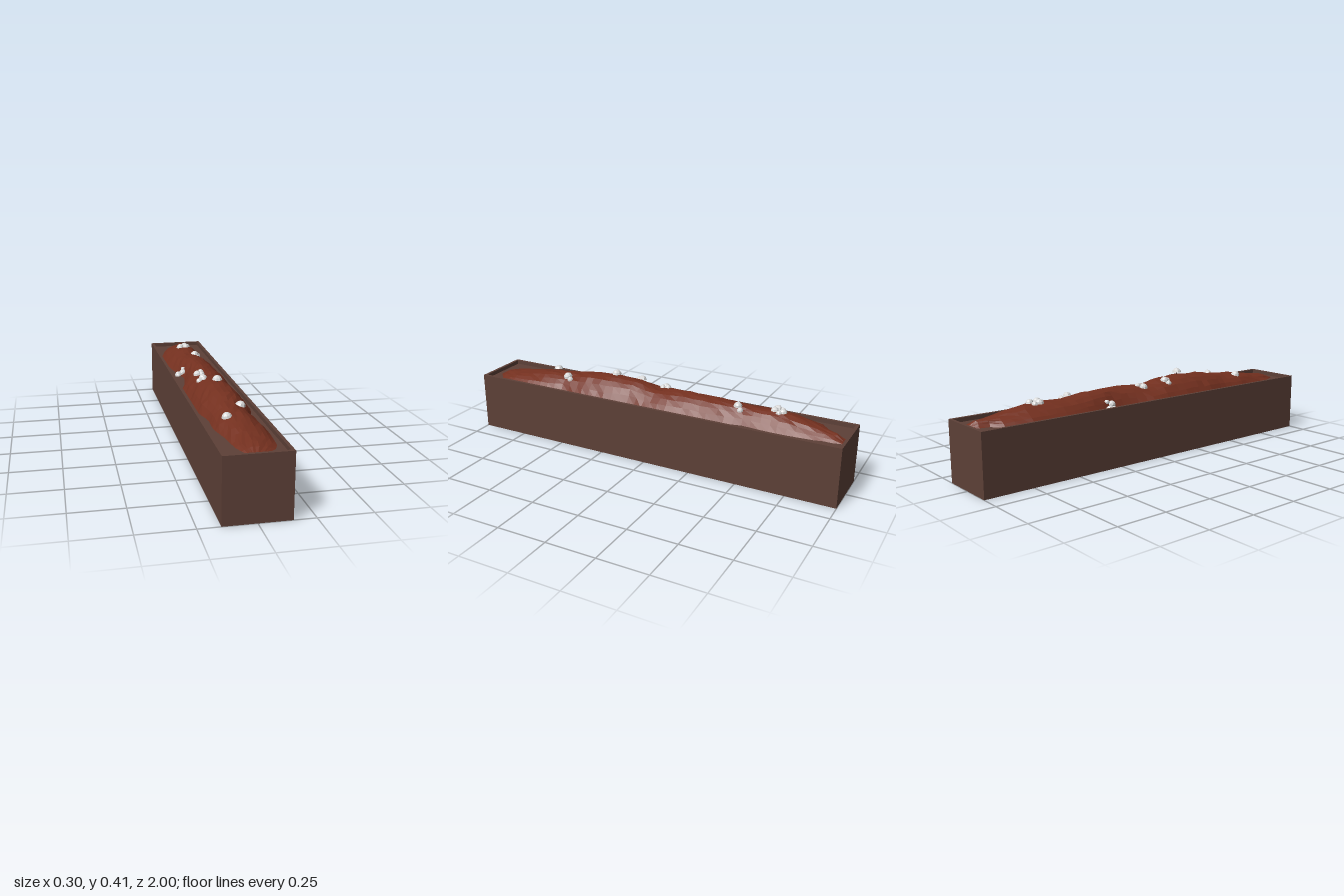
import * as THREE from 'three';

const FLOOR = 0.28;

// Mound outline along its length: [z, left edge x, right edge x, ridge height]
const SECTIONS = [
  [-0.98, 0.0, 0.06, 0.285], [-0.95, -0.02, 0.07, 0.303], [-0.89, -0.03, 0.07, 0.312],
  [-0.85, -0.09, 0.08, 0.32], [-0.72, -0.125, 0.09, 0.345], [-0.6, -0.13, 0.09, 0.353],
  [-0.5, -0.13, 0.08, 0.345], [-0.37, -0.11, 0.11, 0.358], [-0.21, -0.08, 0.115, 0.365],
  [-0.1, -0.1, 0.125, 0.362], [0, -0.132, 0.12, 0.35], [0.1, -0.13, 0.1, 0.372],
  [0.24, -0.13, 0.125, 0.379], [0.4, -0.125, 0.125, 0.37], [0.5, -0.1, 0.1, 0.352],
  [0.63, -0.105, 0.12, 0.342], [0.75, -0.08, 0.12, 0.325], [0.88, -0.065, 0.11, 0.304],
  [0.94, -0.04, 0.08, 0.295], [0.96, -0.03, 0.04, 0.284],
];

// Mushrooms: [x, z, cap radius]
const MUSHROOMS = [
  [-0.03, -0.635, 0.022], [0.0, -0.63, 0.02], [-0.03, -0.66, 0.016], [0.0, -0.67, 0.02], [0.015, -0.655, 0.015],
  [0.02, -0.45, 0.022], [0.04, -0.47, 0.016],
  [-0.1, -0.285, 0.02], [-0.105, -0.265, 0.016], [-0.08, -0.26, 0.02], [-0.075, -0.285, 0.013],
  [-0.045, -0.03, 0.022], [-0.025, -0.05, 0.016], [-0.025, -0.02, 0.015],
  [-0.045, 0.11, 0.022], [-0.065, 0.12, 0.016], [-0.045, 0.13, 0.014],
  [0, 0.235, 0.025], [0.045, 0.51, 0.024], [0.06, 0.487, 0.016], [-0.045, 0.635, 0.024],
];

function sectionAt(z) {
  let i = 0;
  while (i < SECTIONS.length - 2 && z > SECTIONS[i + 1][0]) i++;
  const a = SECTIONS[i], b = SECTIONS[i + 1];
  const t = THREE.MathUtils.clamp((z - a[0]) / (b[0] - a[0]), 0, 1);
  const [, left, right, height] = a.map((v, k) => v + (b[k] - v) * t);
  // The ridge stays near the middle of the box, drifting toward the tips
  const ridge = THREE.MathUtils.clamp(0, left + (right - left) * 0.4, left + (right - left) * 0.6);
  return { left, right, height, ridge };
}

function surfaceHeight(x, z) {
  const s = sectionAt(z);
  const u = Math.min(1, x < s.ridge ? (s.ridge - x) / (s.ridge - s.left) : (x - s.ridge) / (s.right - s.ridge));
  return FLOOR + (s.height - FLOOR) * (1 - Math.pow(u, 2.2));
}

export function createModel() {
  const make = (color, name, side = THREE.DoubleSide) => {
    const m = new THREE.MeshStandardMaterial({ color, flatShading: true, side });
    m.name = name;
    return m;
  };
  const wood = make(0x5d4037, 'brown wood');
  const soil = make(0x74301f, 'red soil');
  const white = make(0xd8d8d8, 'pale cap');
  const stalk = make(0x5a3a32, 'dark stem');

  const model = new THREE.Group();
  model.name = 'mushroomPlanter';
  const add = (parent, geometry, material, name) => {
    const mesh = new THREE.Mesh(geometry, material);
    mesh.name = name;
    parent.add(mesh);
    return mesh;
  };

  // Planter: thin open-bottomed shell, rim, recessed inner walls and bed
  const planter = new THREE.Group();
  planter.name = 'planter';
  model.add(planter);
  const tube = (w, d, y0, y1) =>
    new THREE.CylinderGeometry(Math.SQRT1_2, Math.SQRT1_2, 1, 4, 1, true)
      .rotateY(Math.PI / 4).scale(w, y1 - y0, d).translate(0, (y0 + y1) / 2, 0);
  add(planter, tube(0.3, 2, 0, 0.3), wood, 'outerWalls');
  add(planter, tube(0.27, 1.97, FLOOR, 0.3), wood, 'innerWalls');
  const rect = (Type, w, d) => new Type([
    new THREE.Vector2(-w / 2, -d / 2), new THREE.Vector2(w / 2, -d / 2),
    new THREE.Vector2(w / 2, d / 2), new THREE.Vector2(-w / 2, d / 2),
  ]);
  const rim = rect(THREE.Shape, 0.3, 2);
  rim.holes.push(rect(THREE.Path, 0.27, 1.97));
  add(planter, new THREE.ShapeGeometry(rim).rotateX(-Math.PI / 2).translate(0, 0.3, 0), wood, 'rim');
  add(planter, new THREE.PlaneGeometry(0.27, 1.97).rotateX(-Math.PI / 2).translate(0, FLOOR, 0), wood, 'bed');

  // Soil mound: a grid draped over the outline, roughened by a small seeded jitter
  let seed = 7;
  const jitter = (amount) => {
    seed = (seed * 16807) % 2147483647;
    return (seed / 2147483647 - 0.5) * amount;
  };
  const mound = new THREE.PlaneGeometry(2, 2, 10, 44).rotateX(-Math.PI / 2);
  const p = mound.attributes.position;
  for (let i = 0; i < p.count; i++) {
    const u = p.getX(i), v = p.getZ(i);
    const z = -0.01 + v * 0.97;
    const s = sectionAt(z);
    const x = s.ridge + (u < 0 ? u * (s.ridge - s.left) : u * (s.right - s.ridge));
    const inside = Math.abs(u) < 0.99 && Math.abs(v) < 0.99;
    const y = inside ? surfaceHeight(x, z) + jitter(0.005) : FLOOR;
    p.setXYZ(i, x + (inside ? jitter(0.006) : 0), y, z + (inside ? jitter(0.012) : 0));
  }
  mound.computeVertexNormals();
  add(model, mound, soil, 'soilMound');

  // Mushrooms: faceted domed caps on short stems, leaning out from the slope
  const capShape = new THREE.LatheGeometry(
    [[1, 0], [0.82, 0.45], [0.48, 0.78], [0, 0.92]].map(([x, y]) => new THREE.Vector2(x, y)), 8);
  const stemShape = new THREE.CylinderGeometry(0.12, 0.16, 1.2, 6).translate(0, 0.3, 0);
  const up = new THREE.Vector3(0, 1, 0);
  MUSHROOMS.forEach(([x, z, r], i) => {
    const mushroom = new THREE.Group();
    mushroom.name = `mushroom${i + 1}`;
    const e = 0.02;
    const slopeX = (surfaceHeight(x + e, z) - surfaceHeight(x - e, z)) / (2 * e);
    const slopeZ = (surfaceHeight(x, z + e) - surfaceHeight(x, z - e)) / (2 * e);
    mushroom.position.set(x, surfaceHeight(x, z), z);
    mushroom.quaternion.setFromUnitVectors(up, new THREE.Vector3(-slopeX * 0.6, 1, -slopeZ * 0.6).normalize());
    mushroom.scale.setScalar(r);
    add(mushroom, stemShape, stalk, 'stem');
    const cap = add(mushroom, capShape, white, 'cap');
    cap.position.y = r > 0.0235 && i === 17 ? 0.45 : 0.15;
    cap.rotation.y = i * 0.9;
    model.add(mushroom);
  });
  return model;
}
